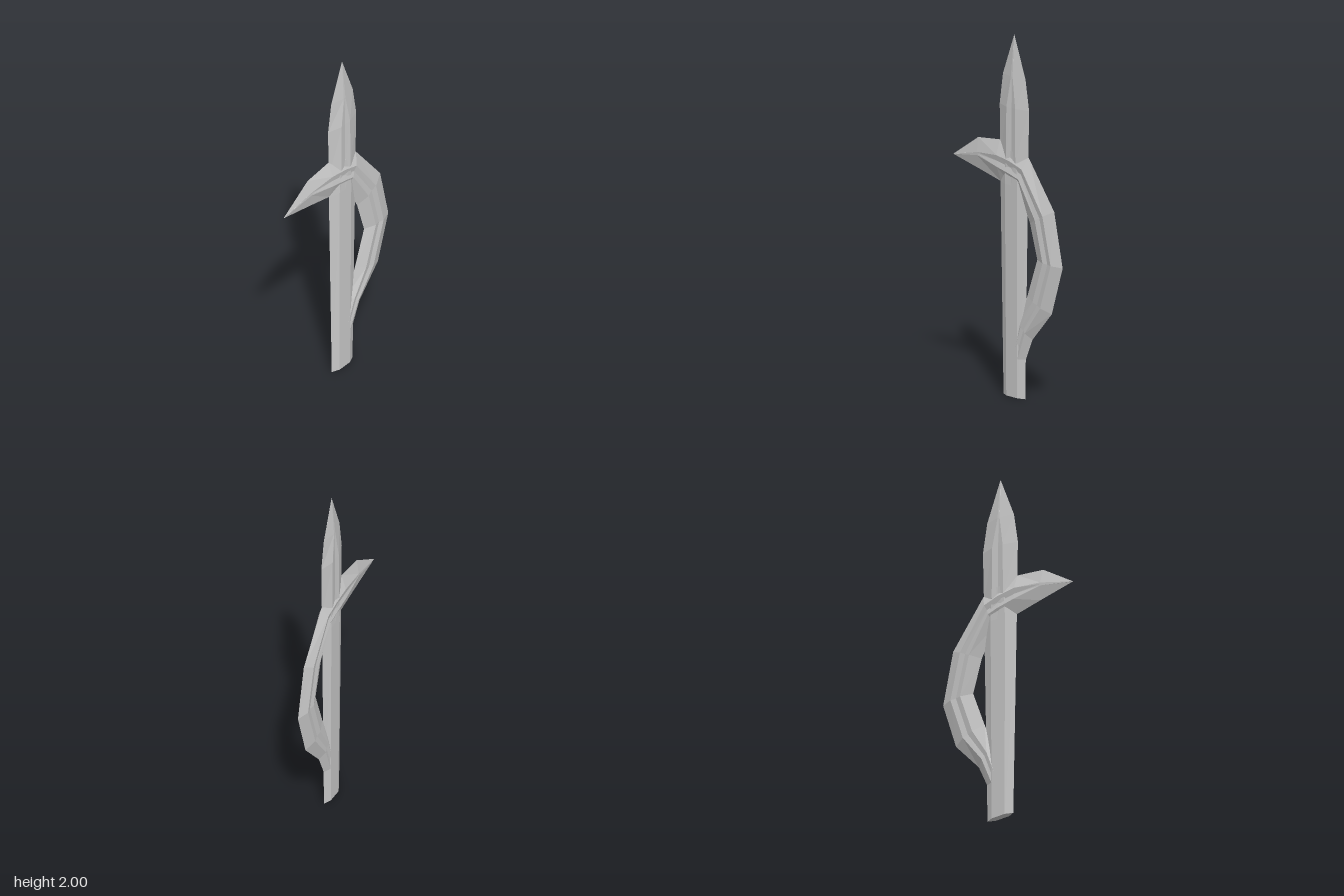
import * as THREE from 'three';

const material = new THREE.MeshStandardMaterial({ color: 0xcccccc, flatShading: true });

// Loft a flat bar with two ridges and a shallow groove on both faces.
// Station: [edge A x, y, edge B x, y, half thickness, groove depth, ridge spacing 0..0.5]
function ridgedBar(name, stations) {
  const N = 8, pos = [], idx = [];
  for (const [ax, ay, bx, by, t, g, s] of stations) {
    const put = (f, z) => pos.push(ax + (bx - ax) * f, ay + (by - ay) * f, z);
    put(0, 0);
    put(0.5 - s, t); put(0.5, t - g); put(0.5 + s, t);
    put(1, 0);
    put(0.5 + s, -t); put(0.5, g - t); put(0.5 - s, -t);
  }
  const last = (stations.length - 1) * N;
  for (let i = 0; i < last; i += N) {
    for (let j = 0; j < N; j++) {
      const a = i + j, b = i + (j + 1) % N;
      idx.push(a, b, b + N, a, b + N, a + N);
    }
  }
  // end caps
  for (const [base, flip] of [[0, true], [last, false]]) {
    const c = pos.length / 3;
    const [ax, ay, bx, by] = stations[base / N];
    pos.push((ax + bx) / 2, (ay + by) / 2, 0);
    for (let j = 0; j < N; j++) {
      const a = base + j, b = base + (j + 1) % N;
      idx.push(c, flip ? b : a, flip ? a : b);
    }
  }
  let geo = new THREE.BufferGeometry();
  geo.setAttribute('position', new THREE.Float32BufferAttribute(pos, 3));
  geo.setIndex(idx);
  geo = geo.toNonIndexed();
  geo.computeVertexNormals();
  const mesh = new THREE.Mesh(geo, material);
  mesh.name = name;
  return mesh;
}

export function createModel() {
  const group = new THREE.Group();
  group.name = 'polearmHead';

  // straight shaft, slightly wider toward the top
  group.add(ridgedBar('shaft', [
    [-0.04, 0, 0.14, 0, 0.019, 0, 0.25],
    [-0.065, 1.17, 0.163, 1.17, 0.024, 0, 0.22],
    [-0.066, 1.36, 0.165, 1.36, 0.025, 0.004, 0.18],
  ]));

  // pointed blade above the shaft
  group.add(ridgedBar('blade', [
    [-0.066, 1.3, 0.165, 1.3, 0.027, 0.007, 0.17],
    [-0.072, 1.6, 0.172, 1.6, 0.026, 0.006, 0.15],
    [-0.045, 1.77, 0.142, 1.77, 0.018, 0, 0.04],
    [0.048, 2, 0.05, 2, 0.001, 0, 0.02],
  ]));

  // side spike running through the shaft into the curved guard
  group.add(ridgedBar('spikeAndGuard', [
    [-0.455, 1.251, -0.455, 1.249, 0.001, 0, 0.02],
    [-0.25, 1.38, -0.23, 1.205, 0.017, 0, 0.05],
    [-0.07, 1.4, -0.06, 1.17, 0.028, 0.006, 0.14],
    [0.05, 1.375, 0.04, 1.16, 0.029, 0.007, 0.16],
    [0.17, 1.34, 0.085, 1.15, 0.028, 0.007, 0.16],
    [0.38, 1.08, 0.18, 0.98, 0.026, 0.006, 0.16],
    [0.45, 0.78, 0.24, 0.79, 0.025, 0.006, 0.16],
    [0.36, 0.51, 0.16, 0.58, 0.025, 0.006, 0.16],
    [0.2, 0.34, 0.09, 0.43, 0.024, 0.005, 0.16],
    [0.135, 0.2, 0.03, 0.25, 0.019, 0.003, 0.16],
  ]));

  return group;
}
